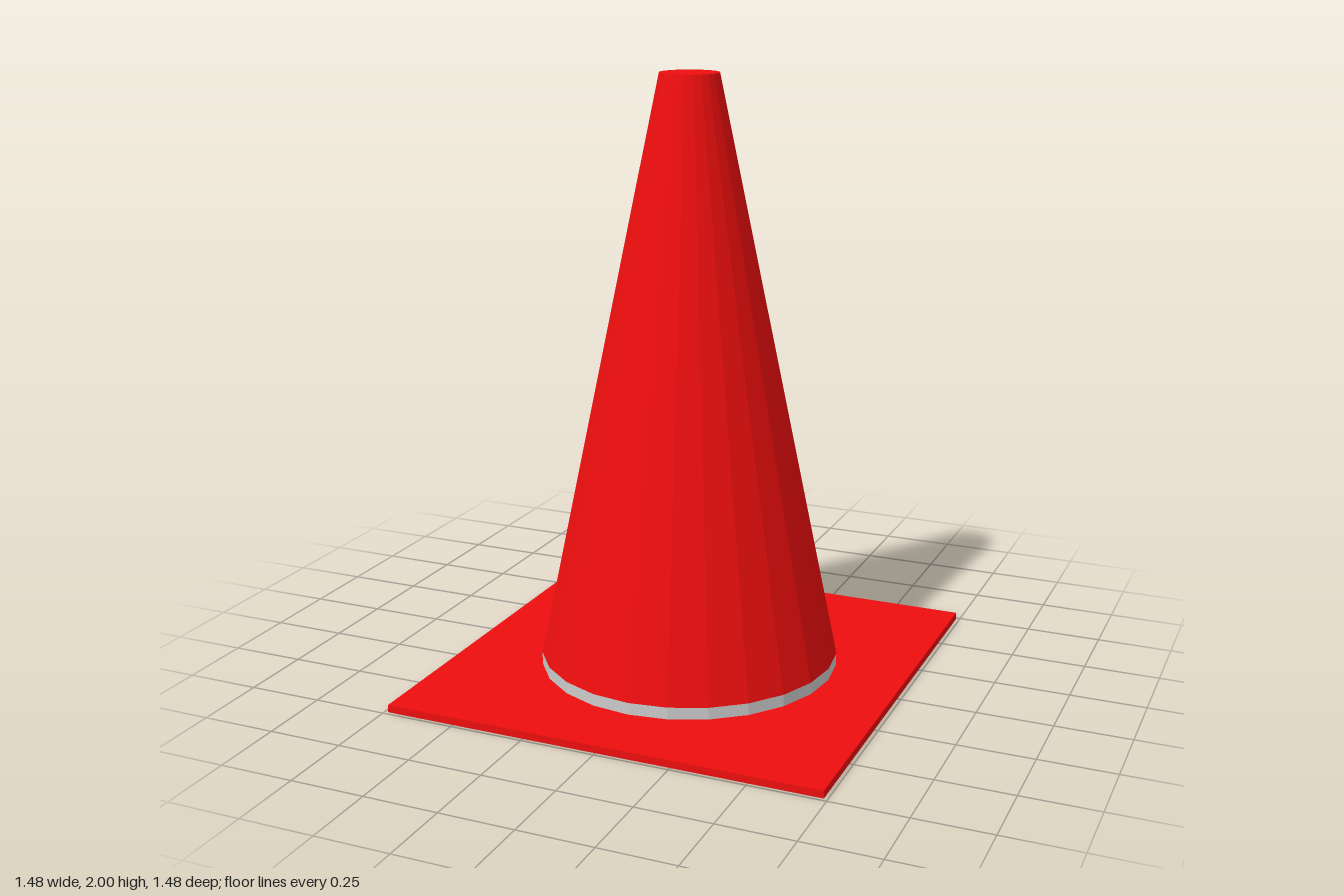
import * as THREE from 'three';

const SIDES = 24;

function part(name, geometry, color, bottom, height) {
  const material = new THREE.MeshStandardMaterial({ color, flatShading: true });
  const mesh = new THREE.Mesh(geometry, material);
  mesh.name = name;
  mesh.position.y = bottom + height / 2;
  return mesh;
}

export function createModel() {
  const group = new THREE.Group();
  group.name = 'trafficCone';
  const red = 0xee0e0e;

  // Thin square foot
  const footH = 0.025;
  group.add(part('basePlate', new THREE.BoxGeometry(1.475, footH, 1.475), red, 0, footH));

  // Low grey ring between foot and cone
  const collarH = 0.04;
  group.add(part('collar', new THREE.CylinderGeometry(0.5, 0.5, collarH, SIDES), 0xcccccc, footH, collarH));

  // Tapered body with a flat closed top
  const bodyY = footH + collarH;
  const bodyH = 2 - bodyY;
  group.add(part('coneBody', new THREE.CylinderGeometry(0.097, 0.5, bodyH, SIDES), red, bodyY, bodyH));

  return group;
}
